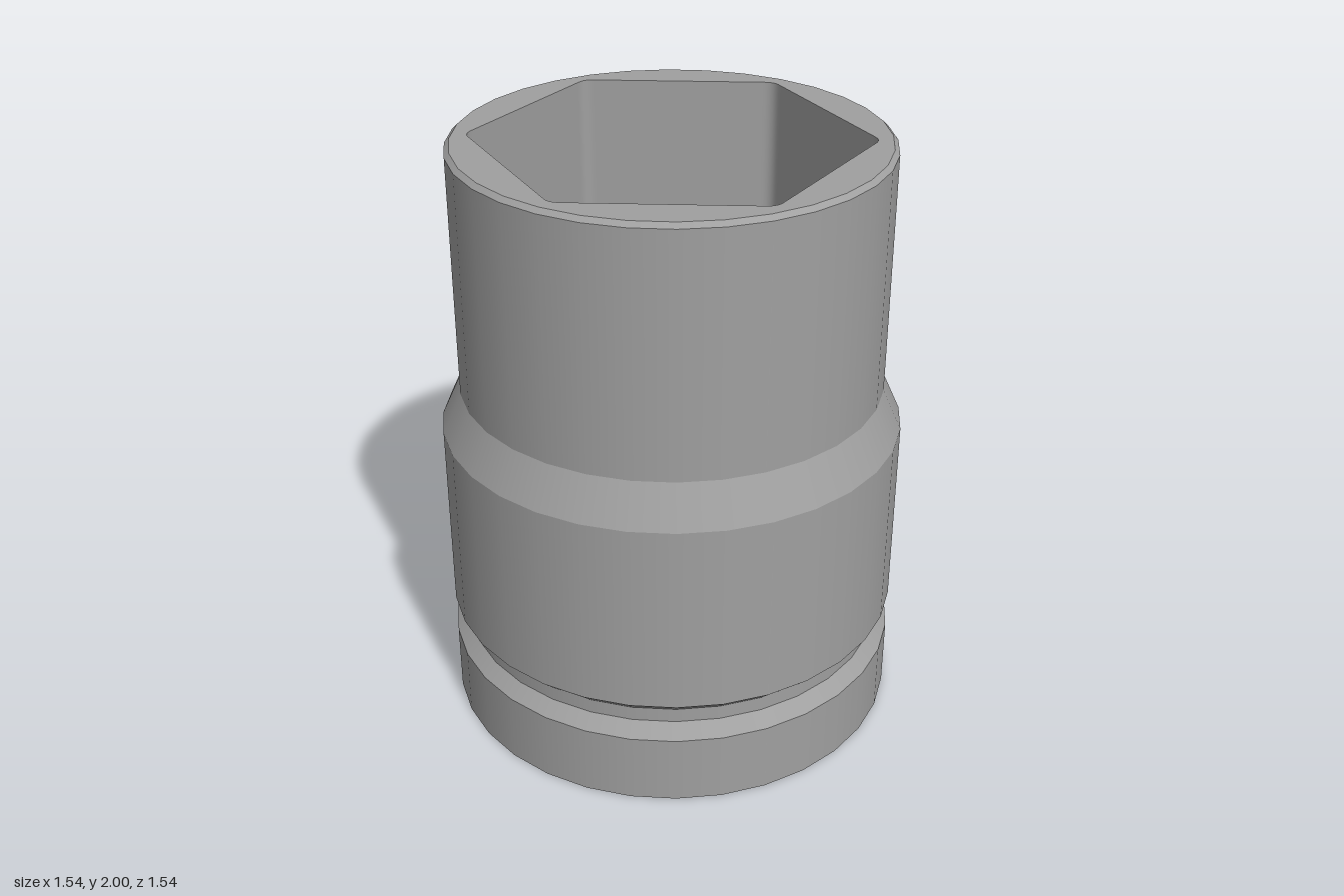
import * as THREE from 'three';

const SAMPLES = 320;

// Radius at angle t of a regular n-gon with rounded corners (one corner at t = 0, toward +z).
function polygon(n, apothem, corner = 0) {
  const half = Math.PI / n;
  const d = (apothem - corner) / Math.cos(half);
  const limit = half - Math.atan(((apothem - corner) * Math.tan(half)) / apothem);
  return (t) => {
    const k = Math.round(t / (2 * half));
    const phi = Math.abs(t - k * 2 * half);
    if (phi < limit) {
      const s = d * Math.sin(phi);
      return d * Math.cos(phi) + Math.sqrt(Math.max(0, corner * corner - s * s));
    }
    return apothem / Math.cos(half - phi);
  };
}

// Circle drawn as an n-sided ring.
const ring = (n, r) => polygon(n, r * Math.cos(Math.PI / n));

// Strip of faces between two outlines; heights may depend on the radius.
function strip(a, b) {
  const pos = [];
  const index = [];
  for (const [radius, height] of [a, b]) {
    for (let i = 0; i < SAMPLES; i++) {
      const t = (i / SAMPLES) * Math.PI * 2;
      const r = radius(t);
      pos.push(r * Math.sin(t), height(r), r * Math.cos(t));
    }
  }
  for (let i = 0; i < SAMPLES; i++) {
    const j = (i + 1) % SAMPLES;
    index.push(i, j, SAMPLES + i, j, SAMPLES + j, SAMPLES + i);
  }
  const g = new THREE.BufferGeometry();
  g.setAttribute('position', new THREE.Float32BufferAttribute(pos, 3));
  g.setIndex(index);
  g.computeVertexNormals();
  return g;
}

export function createModel() {
  const group = new THREE.Group();
  group.name = 'hexSocket';
  const steel = new THREE.MeshStandardMaterial({ color: 0xa0a0a0 });
  steel.name = 'grey steel';

  const add = (name, geometry) => {
    const mesh = new THREE.Mesh(geometry, steel);
    mesh.name = name;
    group.add(mesh);
    return mesh;
  };

  // Outside bands: name, lower y, lower radius, upper y, upper radius
  const bands = [
    ['baseCollar', 0, 0.77, 0.24, 0.77],
    ['grooveLowerFlank', 0.24, 0.77, 0.285, 0.725],
    ['grooveFloor', 0.285, 0.725, 0.335, 0.725],
    ['grooveUpperFlank', 0.335, 0.725, 0.378, 0.77],
    ['lowerBody', 0.378, 0.77, 1.035, 0.77],
    ['shoulder', 1.035, 0.77, 1.175, 0.706],
    ['upperBody', 1.175, 0.706, 1.985, 0.706],
    ['rimChamfer', 1.985, 0.706, 2, 0.69],
  ];
  for (const [name, y0, r0, y1, r1] of bands) {
    add(name, new THREE.CylinderGeometry(r1, r0, y1 - y0, 32, 1, true)).position.y = (y0 + y1) / 2;
  }

  // End faces and the inside, from the top rim down to the base
  const hex = polygon(6, 0.56, 0.05);
  const square = polygon(4, 0.355, 0.035);
  const bore = ring(20, 0.342);
  const at = (y) => () => y;
  const cone = (r) => 0.95 + (r - 0.342) * 0.4;
  const outlines = [
    [ring(32, 0.69), at(2)],
    [hex, at(2)],
    [hex, cone],
    [bore, cone],
    [bore, at(0.6)],
    [square, at(0.6)],
    [square, at(0)],
    [ring(32, 0.77), at(0)],
  ];
  const names = ['topRim', 'hexWall', 'coneFloor', 'roundBore', 'driveLedge', 'squareDriveWall', 'baseFace'];
  names.forEach((name, i) => add(name, strip(outlines[i], outlines[i + 1])));

  return group;
}
